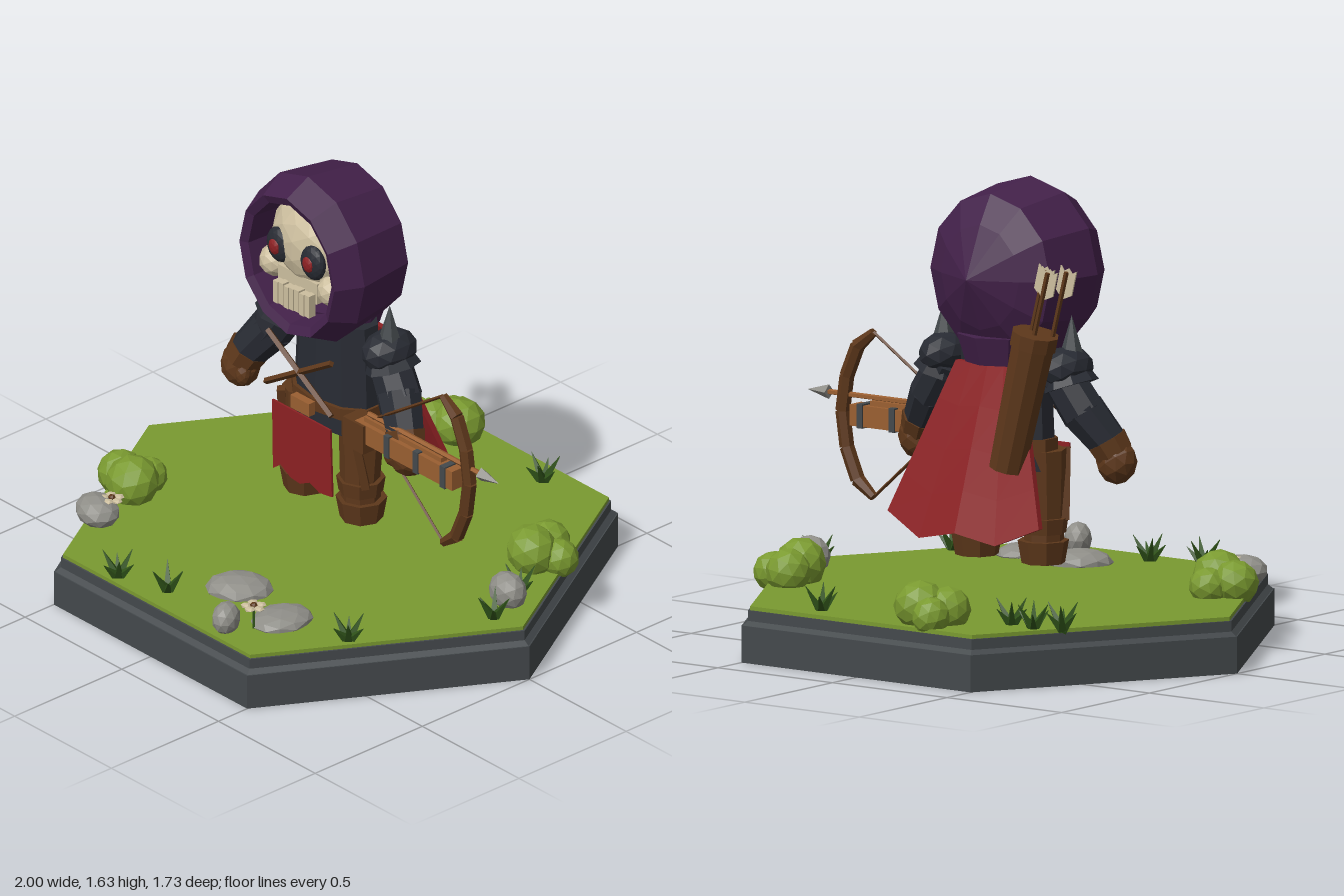
import * as THREE from 'three';

const material = (name, color) => {
  const m = new THREE.MeshStandardMaterial({ color });
  m.name = name;
  return m;
};

export function createModel() {
  const root = new THREE.Group();
  const stone = material('slate', 0x44494c), green = material('meadow green', 0x7a9a30);
  const leaf = material('dark leaf', 0x2f5219), rock = material('pale rock', 0x8f8e88);
  const purple = material('hood purple', 0x43214a), bone = material('bone', 0xcdbf9f);
  const navy = material('dark cloth', 0x282b33), red = material('red cloth', 0x8c2023);
  const brown = material('leather brown', 0x5e381b), wood = material('light wood', 0x9a5f31);

  // Faceted mesh helper
  const add = (name, geo, mat, pos = [0, 0, 0], scale = [1, 1, 1], rot = [0, 0, 0]) => {
    const g = geo.index ? geo.toNonIndexed() : geo;
    g.computeVertexNormals();
    const m = new THREE.Mesh(g, mat);
    m.name = name;
    m.position.set(...pos);
    m.scale.set(...scale);
    m.rotation.set(...rot);
    root.add(m);
    return m;
  };
  const box = (name, mat, size, pos, rot) => add(name, new THREE.BoxGeometry(...size), mat, pos, [1, 1, 1], rot);
  const ball = (name, mat, pos, radii, detail = 1, rot) =>
    add(name, new THREE.IcosahedronGeometry(1, detail), mat, pos, radii, rot);
  // Tapered rod from a to b
  const rod = (name, mat, a, b, ra, rb = ra, sides = 8) => {
    const A = new THREE.Vector3(...a), B = new THREE.Vector3(...b), d = B.clone().sub(A);
    const m = add(name, new THREE.CylinderGeometry(rb, ra, d.length(), sides), mat);
    m.position.copy(A).add(B).multiplyScalar(0.5);
    m.quaternion.setFromUnitVectors(new THREE.Vector3(0, 1, 0), d.normalize());
    return m;
  };

  // Hexagonal plinth
  const hex = (name, mat, r0, r1, y0, y1) =>
    add(name, new THREE.CylinderGeometry(r1, r0, y1 - y0, 6).rotateY(Math.PI / 6), mat, [0, (y0 + y1) / 2, 0]);
  hex('plinth', stone, 1, 1, 0, 0.13);
  hex('plinthBevel', stone, 0.995, 0.975, 0.13, 0.145);
  hex('plinthRim', stone, 0.975, 0.975, 0.145, 0.182);
  hex('grassTop', green, 0.967, 0.967, 0.182, 0.196);

  // Hood: turned profile laid along z, with a recessed face opening
  const profile = [[0, -0.24], [0.17, -0.16], [0.262, -0.1], [0.292, 0.13], [0.245, 0.23], [0.215, 0.215], [0.205, 0.04], [0, 0.02]];
  add('hood', new THREE.LatheGeometry(profile.map(p => new THREE.Vector2(...p)), 12).rotateX(Math.PI / 2),
    purple, [0, 1.31, 0], [1, 1.09, 1]);
  rod('hoodCollar', purple, [0, 1.0, -0.03], [0, 1.1, -0.03], 0.13, 0.16);

  // Skull
  ball('skull', bone, [0, 1.36, 0.06], [0.205, 0.185, 0.15], 2);
  box('jaw', bone, [0.2, 0.08, 0.12], [0, 1.22, 0.12]);
  for (const s of [-1, 1]) {
    ball('cheek', bone, [s * 0.15, 1.245, 0.145], [0.06, 0.06, 0.06]);
    ball('eyeSocket', navy, [s * 0.087, 1.345, 0.185], [0.058, 0.067, 0.03], 2);
    ball('eye', red, [s * 0.087, 1.345, 0.208], [0.027, 0.032, 0.015]);
  }
  for (let i = -3; i <= 3; i++) box('tooth', bone, [0.023, 0.085, 0.03], [i * 0.027, 1.172 + (i % 2) * 0.004, 0.195]);

  // Torso, belt and crossed straps
  add('torso', new THREE.CylinderGeometry(0.18, 0.2, 0.42, 10), navy, [0, 0.84, -0.01], [1, 1, 0.56]);
  add('belt', new THREE.CylinderGeometry(0.205, 0.205, 0.045, 10), brown, [0, 0.72, -0.005], [1, 1, 0.58]);
  box('buckle', wood, [0.095, 0.05, 0.03], [0, 0.735, 0.155]);
  rod('chestStrap', brown, [-0.165, 0.97, 0.17], [0.17, 0.765, 0.175], 0.012, 0.012, 4);
  rod('chestStrap', brown, [0.165, 0.97, 0.17], [-0.17, 0.765, 0.175], 0.012, 0.012, 4);

  for (const s of [-1, 1]) {
    // Shoulders and arms
    ball('pauldron', navy, [s * 0.265, 1.0, -0.01], [0.085, 0.075, 0.11]);
    add('pauldronSkirt', new THREE.CylinderGeometry(0.07, 0.095, 0.06, 8), navy, [s * 0.275, 0.965, -0.01], [1, 1, 1.1], [0, 0, s * 0.35]);
    add('shoulderSpike', new THREE.ConeGeometry(0.045, 0.15, 6), stone, [s * 0.278, 1.11, 0]);
    rod('upperArm', navy, [s * 0.24, 0.98, -0.02], [s * 0.335, 0.84, 0], 0.075, 0.08);
    rod('forearm', navy, [s * 0.325, 0.855, 0], [s * 0.415, 0.73, 0.05], 0.082, 0.068);
    rod('gloveCuff', brown, [s * 0.4, 0.755, 0.04], [s * 0.425, 0.705, 0.055], 0.076, 0.07);
    ball('glove', brown, [s * 0.432, 0.68, 0.055], [0.075, 0.082, 0.068]);
    ball('thumb', brown, [s * 0.385, 0.67, 0.085], [0.03, 0.045, 0.03]);

    // Legs and boots
    const x = s * 0.145;
    rod('leg', brown, [x, 0.42, 0.02], [x, 0.7, 0.01], 0.068, 0.082);
    rod('bootCuff', brown, [x, 0.405, 0.015], [x, 0.46, 0.015], 0.078, 0.086);
    rod('bootAnkle', brown, [x, 0.37, 0.015], [x, 0.41, 0.015], 0.07, 0.07);
    rod('boot', brown, [x, 0.3, 0.012], [x, 0.38, 0.012], 0.076, 0.09);
    rod('thighStrap', brown, [s * 0.21, 0.45, 0.05], [s * 0.185, 0.7, 0.09], 0.02, 0.02, 4);
  }

  // Front cloth with a ragged hem
  const cloth = new THREE.Shape([[-0.145, 0.7], [-0.14, 0.43], [-0.1, 0.46], [-0.05, 0.43], [0, 0.425], [0.05, 0.45],
    [0.1, 0.43], [0.165, 0.44], [0.155, 0.7]].map(p => new THREE.Vector2(...p)));
  add('frontCloth', new THREE.ExtrudeGeometry(cloth, { depth: 0.008, bevelEnabled: false }), red, [0, 0, 0.16]);

  // Cape: a thin slab flared toward a ragged hem
  const cape = new THREE.BoxGeometry(2, 1, 0.022, 4, 4, 1), cp = cape.attributes.position;
  const hem = [0.47, 0.4, 0.43, 0.395, 0.47];
  for (let i = 0; i < cp.count; i++) {
    const u = cp.getX(i), t = 0.5 - cp.getY(i), bottom = hem[Math.round((u + 1) * 2)];
    cp.setXYZ(i, u * (0.14 + 0.19 * t), 1.0 + (bottom - 1.0) * t, cp.getZ(i) - 0.105 - 0.19 * t + 0.05 * t * u * u);
  }
  add('cape', cape, red);

  // Quiver and arrows
  rod('quiver', brown, [-0.15, 0.66, -0.2], [-0.275, 1.14, -0.205], 0.066, 0.078, 10);
  rod('quiverRim', brown, [-0.265, 1.1, -0.205], [-0.277, 1.15, -0.205], 0.084, 0.084, 10);
  const vane = new THREE.Shape([[-0.035, 0], [0, -0.025], [0.035, 0], [0.035, 0.09], [0.018, 0.075], [0, 0.09],
    [-0.018, 0.075], [-0.035, 0.09]].map(p => new THREE.Vector2(...p)));
  [[-0.04, -0.17], [0, -0.225], [0.04, -0.19]].forEach(([dx, z]) => {
    rod('arrowShaft', brown, [-0.27 + dx, 1.08, z], [-0.345 + dx, 1.37, z], 0.009, 0.009, 5);
    add('fletching', new THREE.ExtrudeGeometry(vane, { depth: 0.006, bevelEnabled: false }), bone,
      [-0.327 + dx, 1.295, z + 0.008], [1, 1, 1], [0, 0, 0.24]);
  });

  // Crossbow
  const bz = 0.09;
  box('crossbowStock', wood, [0.5, 0.075, 0.065], [0.485, 0.72, bz]);
  box('crossbowRail', wood, [0.4, 0.02, 0.03], [0.46, 0.765, bz]);
  box('crossbowButt', brown, [0.105, 0.11, 0.085], [0.235, 0.7, bz]);
  for (const x of [0.4, 0.55, 0.69]) box('stockBand', stone, [0.025, 0.085, 0.075], [x, 0.72, bz]);
  const limb = [[0.655, 1.015], [0.725, 0.96], [0.772, 0.85], [0.79, 0.725], [0.772, 0.6], [0.725, 0.49], [0.655, 0.435]];
  for (let i = 0; i < 6; i++) {
    const [ax, ay] = limb[i], [bx, by] = limb[i + 1];
    const thick = k => (k === 0 || k === 6 ? 0.016 : 0.026);
    rod('bowLimb', brown, [ax, ay, bz], [bx, by, bz], thick(i), thick(i + 1), 6);
  }
  for (const i of [0, 6]) rod('bowString', brown, [...limb[i], bz], [0.28, 0.765, bz], 0.006, 0.006, 4);
  rod('bolt', wood, [0.27, 0.785, bz], [0.87, 0.785, bz], 0.01, 0.01, 5);
  rod('boltHead', rock, [0.85, 0.785, bz], [0.94, 0.785, bz], 0.026, 0.001, 4);

  // Bushes: three lobes each
  [[-0.24, -0.74, 0], [0.68, -0.37, 1.9], [-0.67, 0.34, 0.8]].forEach(([x, z, a], k) => {
    for (let i = 0; i < 3; i++) {
      const t = a + i * 2.1, r = 0.095 - i * 0.012;
      ball('bush', green, [x + Math.cos(t) * 0.055, 0.255 - i * 0.012, z + Math.sin(t) * 0.055], [r, r * 0.95, r], 1, [i, k, t]);
    }
  });

  // Rocks
  [[0.8, -0.08, 0.075, 0.07, 0.24], [0.11, 0.55, 0.12, 0.05, 0.2], [0.375, 0.59, 0.115, 0.04, 0.2],
    [0.285, 0.77, 0.062, 0.06, 0.235], [-0.58, 0.59, 0.095, 0.055, 0.24]].forEach(([x, z, r, h, y], i) =>
    ball('rock', rock, [x, y, z], [r, h, r * 0.8], 1, [0, i * 0.7, 0]));

  // Flowers
  for (const [x, z] of [[0.35, 0.7], [-0.55, 0.55]]) {
    rod('flowerStem', leaf, [x, 0.19, z], [x, 0.28, z], 0.006, 0.006, 4);
    for (let i = 0; i < 5; i++) {
      const t = i * Math.PI * 0.4;
      ball('petal', bone, [x + Math.cos(t) * 0.027, 0.283, z + Math.sin(t) * 0.027], [0.02, 0.008, 0.02], 0);
    }
    ball('flowerCentre', brown, [x, 0.287, z], [0.014, 0.012, 0.014], 0);
  }

  // Grass tufts: leaning blades
  [[0.24, -0.75], [-0.65, -0.54], [-0.57, -0.6], [-0.46, -0.58], [0.77, -0.16], [0.85, 0.03], [0.63, 0.51],
    [-0.05, 0.74], [-0.24, 0.8]].forEach(([x, z], k) => {
    for (let i = 0; i < 6; i++) {
      const t = k + i * Math.PI / 3, h = 0.065 + (i % 2) * 0.03, r = 0.06;
      rod('grassBlade', leaf, [x, 0.19, z], [x + Math.cos(t) * r, 0.19 + h, z + Math.sin(t) * r], 0.021, 0.001, 4);
    }
  });

  return root;
}
